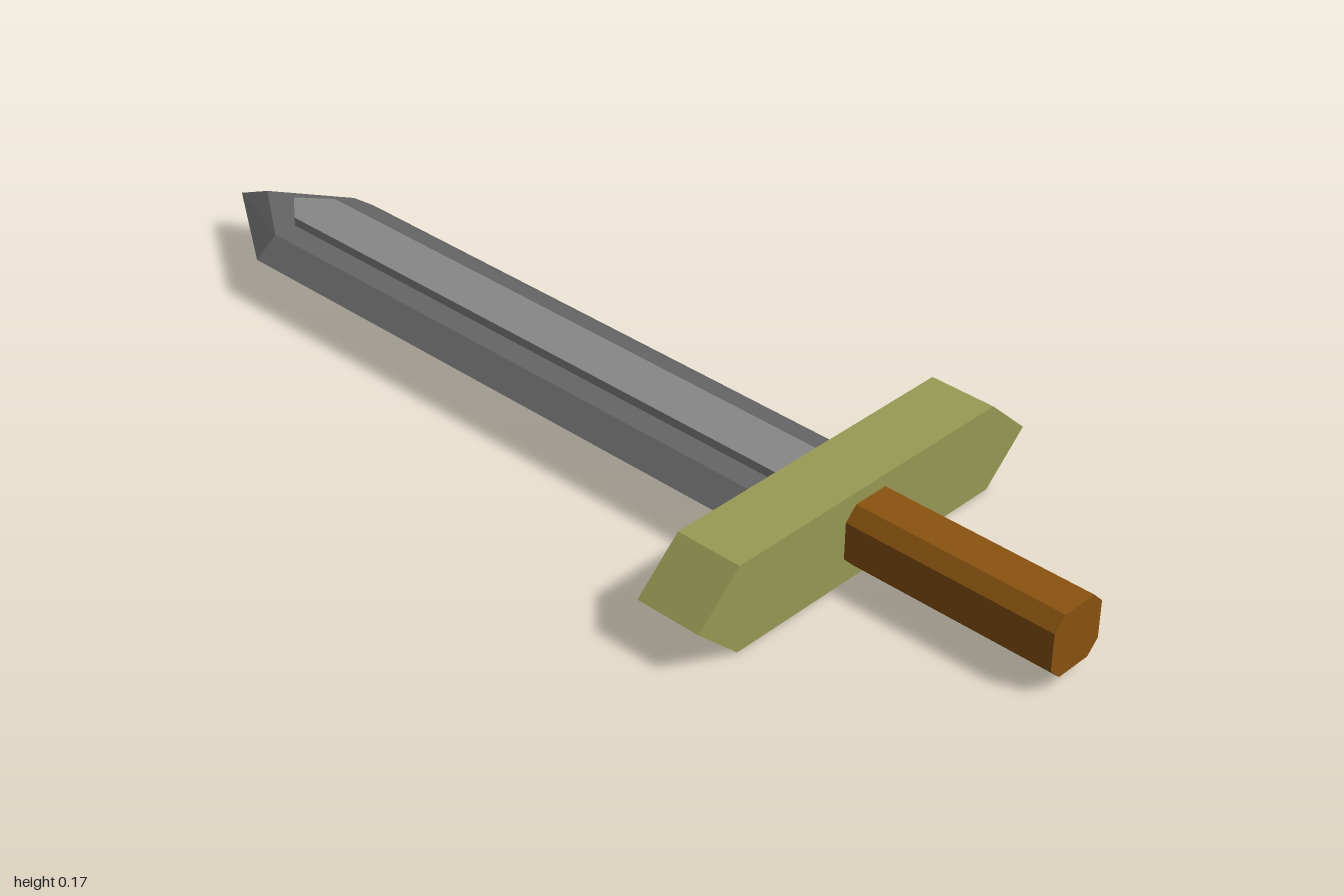
import * as THREE from 'three';

const MID = 0.084; // height of the sword's centre plane

function addMesh(group, name, geometry, color) {
  const material = new THREE.MeshStandardMaterial({ color, flatShading: true });
  const mesh = new THREE.Mesh(geometry, material);
  mesh.name = name;
  mesh.position.y = MID;
  group.add(mesh);
}

const toShape = (points) => new THREE.Shape(points.map(([x, y]) => new THREE.Vector2(x, y)));

const extrude = (points, depth) =>
  new THREE.ExtrudeGeometry(toShape(points), { depth, bevelEnabled: false });

// Prism along x from a cross-section given as [z, y]
function prismX(section, x0, x1) {
  return extrude(section, x1 - x0).rotateY(Math.PI / 2).translate(x0, 0, 0);
}

// Pointed outline in plan, [x, z], anticlockwise from above
const BASE = 0.47, SHOULDER = -0.78;
const outline = (tip, w) => [[BASE, w], [BASE, -w], [SHOULDER, -w], [tip, 0], [SHOULDER, w]];

// Blade body: flat faces bevelled out to a sharp middle edge
function bladeGeometry() {
  const rings = [[-0.92, 0.098, -0.035], [-1, 0.145, 0], [-0.92, 0.098, 0.035]];
  const n = 5;
  const positions = rings.flatMap(([tip, w, y]) => outline(tip, w).flatMap(([x, z]) => [x, y, z]));
  const index = [];
  for (let r = 0; r < 2; r++) {
    for (let i = 0; i < n; i++) {
      const a = r * n + i, b = r * n + (i + 1) % n;
      index.push(a, b, b + n, a, b + n, a + n);
    }
  }
  for (let i = 1; i < n - 1; i++) {
    index.push(0, i + 1, i); // lower face
    index.push(2 * n, 2 * n + i, 2 * n + i + 1); // upper face
  }
  const geometry = new THREE.BufferGeometry();
  geometry.setAttribute('position', new THREE.Float32BufferAttribute(positions, 3));
  geometry.setIndex(index);
  const flat = geometry.toNonIndexed();
  flat.computeVertexNormals();
  return flat;
}

export function createModel() {
  const group = new THREE.Group();
  group.name = 'sword';

  addMesh(group, 'blade', bladeGeometry(), 0x666666);

  // Raised centre panel, standing proud on both faces
  const panel = extrude(outline(-0.84, 0.05), 0.104).rotateX(-Math.PI / 2).translate(0, -0.052, 0);
  addMesh(group, 'bladeRidge', panel, 0x888888);

  // Crossguard with pointed ends
  const g = 0.314, h = MID;
  const guard = [[-0.405, 0], [-g, -h], [g, -h], [0.405, 0], [g, h], [-g, h]];
  addMesh(group, 'crossguard', prismX(guard, 0.455, 0.585), 0x999b55);

  // Chamfered square grip
  const r = 0.06, c = 0.036;
  const grip = [[-r, -c], [-c, -r], [c, -r], [r, -c], [r, c], [c, r], [-c, r], [-r, c]];
  addMesh(group, 'grip', prismX(grip, 0.57, 1), 0x8b5410);

  return group;
}
